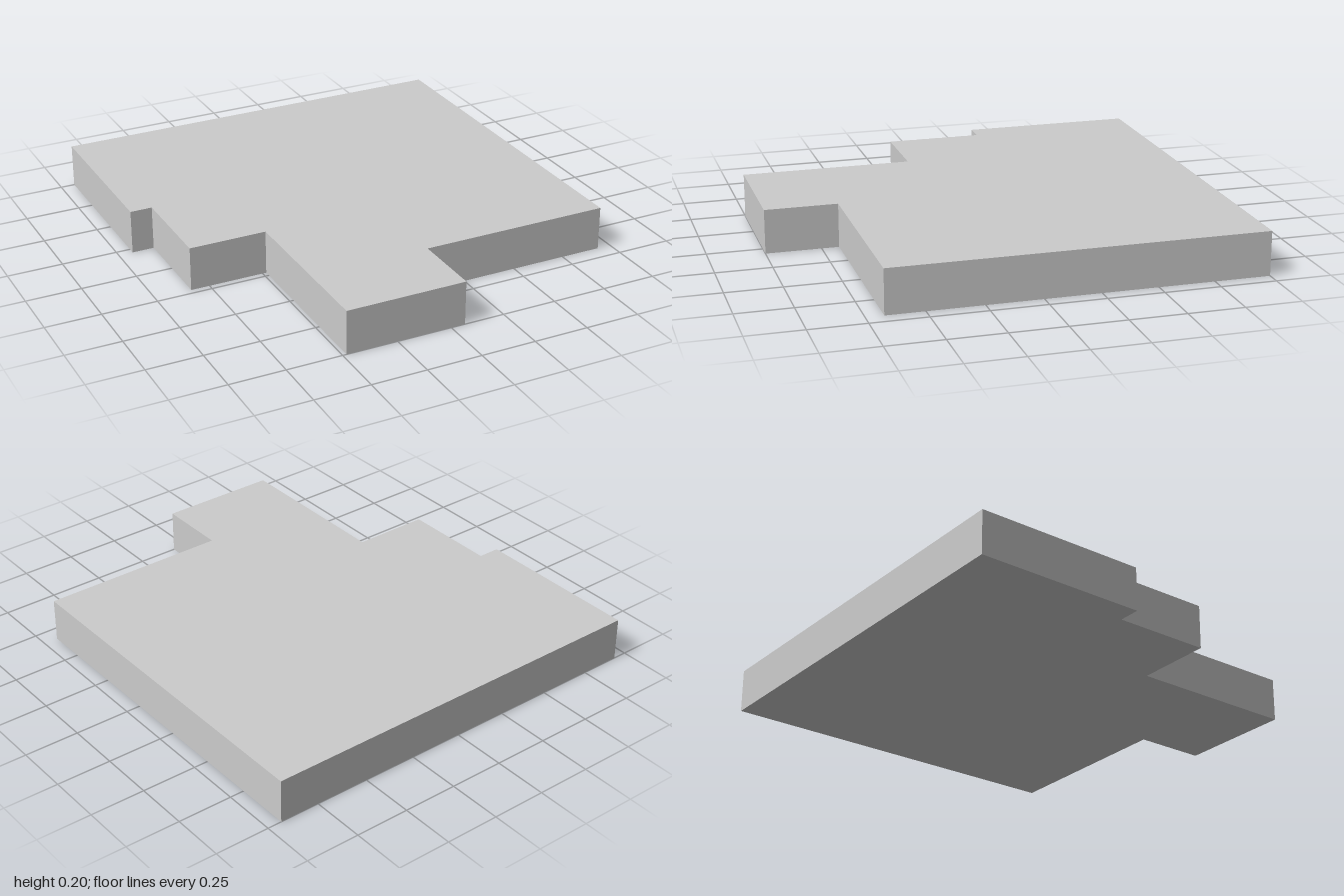
import * as THREE from 'three';

export function createModel() {
  const group = new THREE.Group();
  group.name = 'steppedSlab';

  // Outline seen from above, as [x, z] corners
  const outline = [
    [-0.935, -1], [-0.935, -0.217], [-0.835, -0.217], [-0.835, 0.222],
    [-0.483, 0.222], [-0.483, 1], [0.065, 1], [0.065, 0.672],
    [0.935, 0.672], [0.935, -1],
  ];
  const shape = new THREE.Shape(outline.map(([x, z]) => new THREE.Vector2(x, -z)));

  // Flat slab, laid down so its thickness runs up from y = 0
  const geometry = new THREE.ExtrudeGeometry(shape, { depth: 0.2, bevelEnabled: false });
  geometry.rotateX(-Math.PI / 2);

  const slab = new THREE.Mesh(
    geometry,
    new THREE.MeshStandardMaterial({ color: 0xcccccc, flatShading: true }),
  );
  slab.name = 'slab';
  group.add(slab);
  return group;
}
